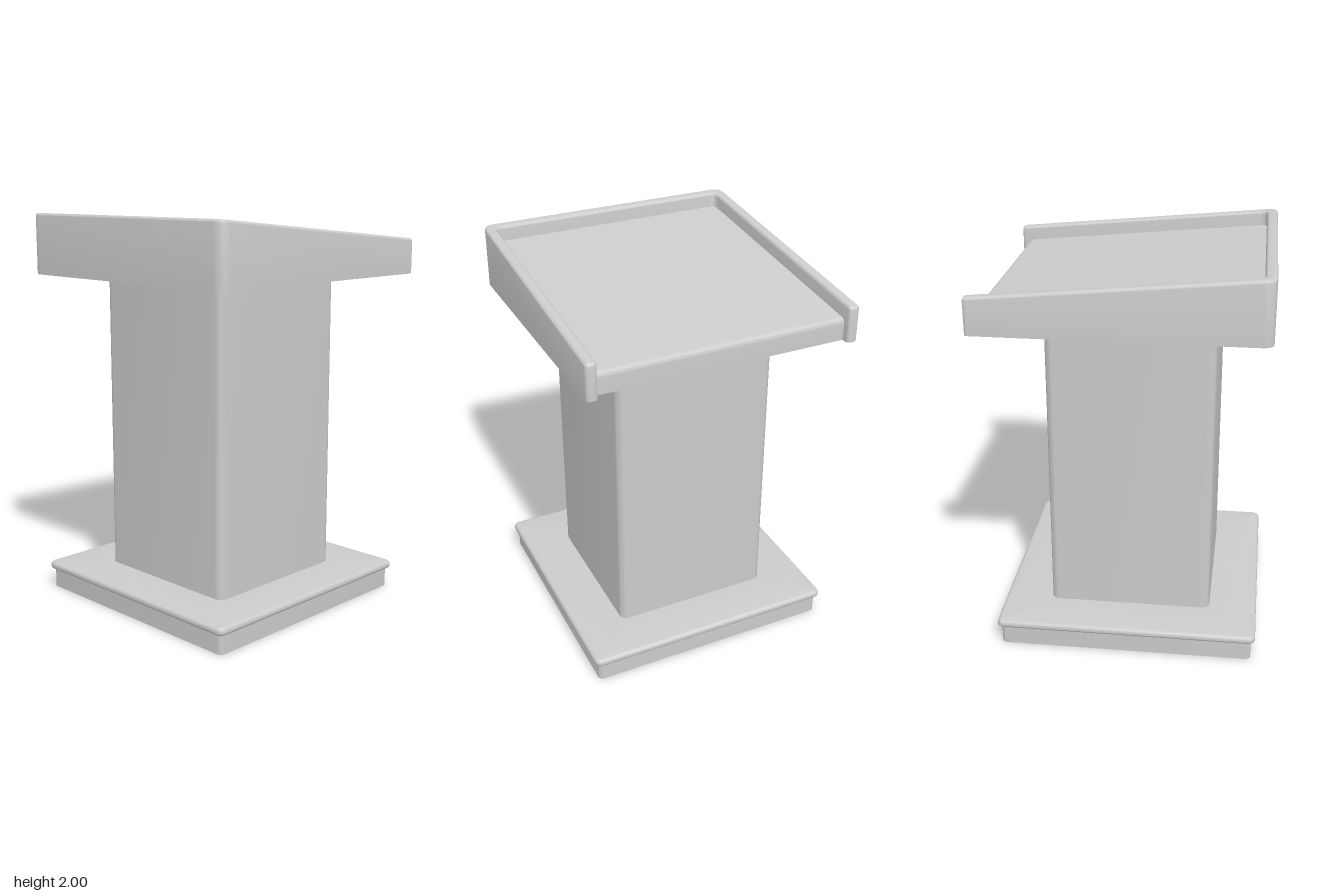
import * as THREE from 'three';
import { toCreasedNormals } from 'three/addons/utils/BufferGeometryUtils.js';

const material = new THREE.MeshStandardMaterial({ color: 0xcccccc, side: THREE.DoubleSide });
const BASE_Z = 0.025;   // column and base sit slightly forward
const DESK_BOTTOM = 1.69;
const rimTop = (z) => 1.935 + 0.094 * z;

function part(name, geometry) {
  const mesh = new THREE.Mesh(toCreasedNormals(geometry, 0.6), material);
  mesh.name = name;
  return mesh;
}

// Skins a stack of rounded squares, each given as [half width, corner radius, y]
function loftSquares(rings) {
  const steps = 6, count = 4 * (steps + 1);
  const positions = [], index = [];
  for (const [half, r, y] of rings) {
    for (let c = 0; c < 4; c++) {
      const mid = Math.PI / 4 + c * Math.PI / 2;
      const cx = Math.sign(Math.cos(mid)) * (half - r);
      const cz = Math.sign(Math.sin(mid)) * (half - r);
      for (let s = 0; s <= steps; s++) {
        const a = (c + s / steps) * Math.PI / 2;
        positions.push(cx + r * Math.cos(a), y, cz + r * Math.sin(a));
      }
    }
  }
  for (let k = 0; k < rings.length - 1; k++) {
    for (let i = 0; i < count; i++) {
      const j = (i + 1) % count;
      const a = k * count + i, b = k * count + j;
      index.push(a, a + count, b, b, a + count, b + count);
    }
  }
  const g = new THREE.BufferGeometry();
  g.setAttribute('position', new THREE.Float32BufferAttribute(positions, 3));
  g.setIndex(index);
  g.translate(0, 0, BASE_Z);
  return g;
}

// Shape from [x, y, corner radius] points
function roundedShape(points) {
  const shape = new THREE.Shape();
  const n = points.length;
  points.forEach(([x, y, r], i) => {
    const p = new THREE.Vector2(x, y);
    const toward = (q) => new THREE.Vector2(q[0], q[1]).sub(p).setLength(r).add(p);
    const start = r ? toward(points[(i + n - 1) % n]) : p;
    const end = r ? toward(points[(i + 1) % n]) : p;
    if (i === 0) shape.moveTo(start.x, start.y);
    else shape.lineTo(start.x, start.y);
    if (r) shape.quadraticCurveTo(x, y, end.x, end.y);
  });
  shape.closePath();
  return shape;
}

// U-shaped rim, open at the back, with a sloping rounded top
function rimGeometry() {
  const bevel = 0.015, depth = 0.2;
  const shape = roundedShape([
    [-0.68, -0.7, 0.055], [0.68, -0.7, 0.055], [0.68, 0.7, 0.02], [0.625, 0.7, 0.02],
    [0.625, -0.645, 0.035], [-0.625, -0.645, 0.035], [-0.625, 0.7, 0.02], [-0.68, 0.7, 0.02],
  ]);
  const g = new THREE.ExtrudeGeometry(shape, {
    depth, bevelEnabled: true, bevelSize: bevel, bevelThickness: bevel,
    bevelOffset: -bevel, bevelSegments: 4, curveSegments: 6,
  });
  g.rotateX(-Math.PI / 2);
  const p = g.attributes.position;
  for (let i = 0; i < p.count; i++) {
    const y = p.getY(i);
    p.setY(i, y < 0.001 ? DESK_BOTTOM : rimTop(p.getZ(i)) + y - depth - bevel);
  }
  return g;
}

// Wedge-shaped reading board, extruded across x
function boardGeometry() {
  const drop = 0.075, width = 1.255;
  const shape = roundedShape([
    [-0.66, DESK_BOTTOM, 0], [0.65, DESK_BOTTOM, 0],
    [0.65, rimTop(0.65) - drop, 0], [-0.66, rimTop(-0.66) - drop, 0.025],
  ]);
  const g = new THREE.ExtrudeGeometry(shape, { depth: width, bevelEnabled: false, curveSegments: 6 });
  g.translate(0, 0, -width / 2);
  g.rotateY(-Math.PI / 2);
  return g;
}

export function createModel() {
  const model = new THREE.Group();
  model.name = 'lectern';

  // Hollow base: thin skirt under a round-edged plate
  model.add(part('baseSkirt', loftSquares([[0.64, 0.025, 0], [0.64, 0.025, 0.1]])));
  const plate = [[0.415, 0.04, 0.1]];
  for (const [y, dir] of [[0.115, -1], [0.12, 1]]) {
    for (let i = 0; i <= 4; i++) {
      const a = (dir < 0 ? 4 - i : i) / 4 * Math.PI / 2;
      const r = dir < 0 ? 0.015 : 0.02;
      plate.push([0.66 - r + r * Math.cos(a), 0.035 - r + r * Math.cos(a), y + dir * r * Math.sin(a)]);
    }
  }
  plate.push([0.415, 0.04, 0.14]);
  model.add(part('basePlate', loftSquares(plate)));

  // Hollow column, open at the bottom
  model.add(part('column', loftSquares([[0.415, 0.04, 0.1], [0.415, 0.04, DESK_BOTTOM]])));

  // Sloping desk
  model.add(part('readingBoard', boardGeometry()));
  model.add(part('deskRim', rimGeometry()));
  return model;
}
